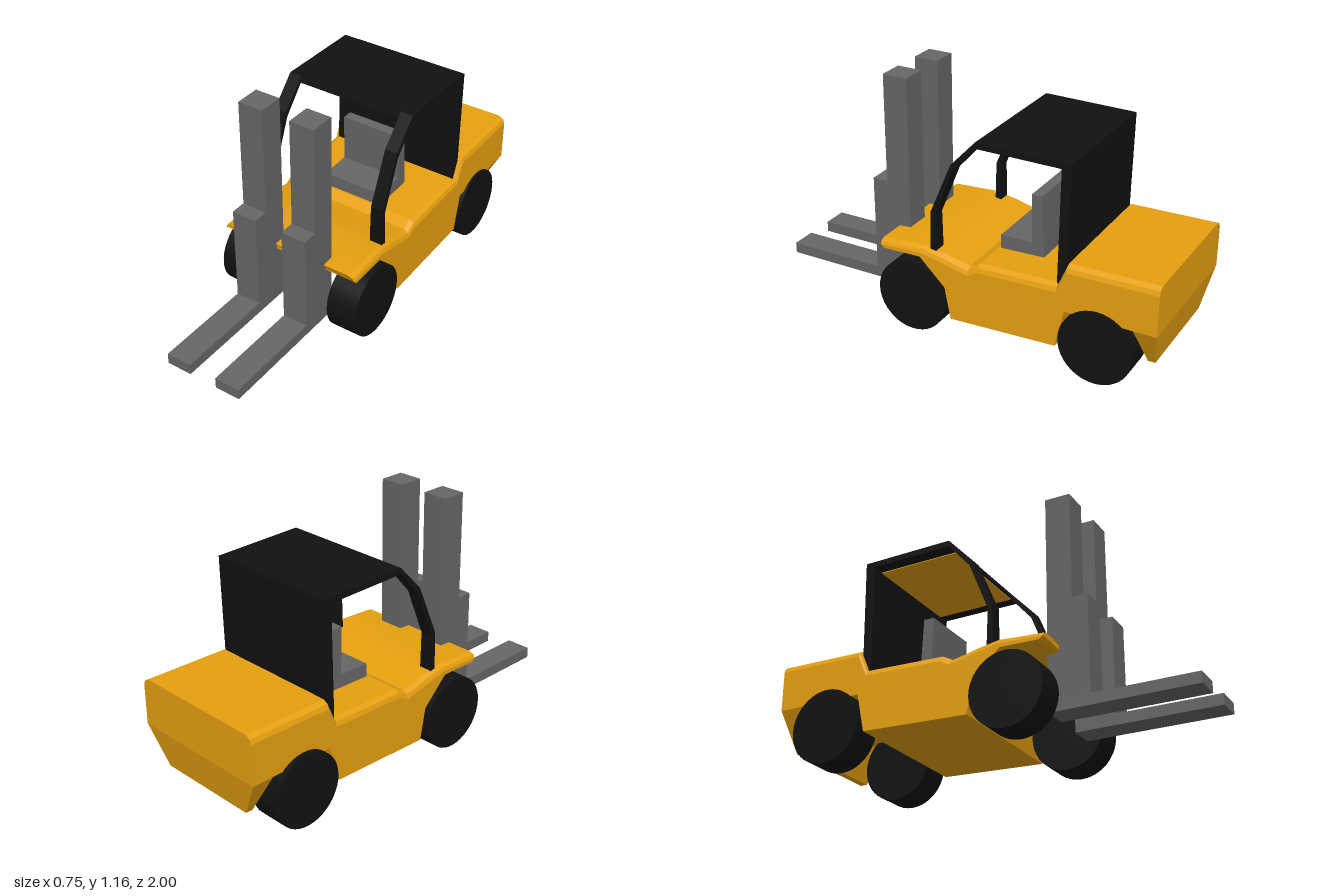
import * as THREE from 'three';
import { toCreasedNormals } from 'three/addons/utils/BufferGeometryUtils.js';

const mat = (color) => new THREE.MeshStandardMaterial({ color });

// Skin a row of matching cross-sections (arrays of [x, y, z]) and cap both ends
function loft(rings) {
  const n = rings[0].length, index = [], last = (rings.length - 1) * n;
  for (let r = 0; r < rings.length - 1; r++) {
    for (let k = 0; k < n; k++) {
      const a = r * n + k, b = r * n + (k + 1) % n;
      index.push(a, a + n, b + n, a, b + n, b);
    }
  }
  for (let k = 1; k < n - 1; k++) {
    index.push(0, k, k + 1, last, last + k + 1, last + k);
  }
  const g = new THREE.BufferGeometry();
  g.setAttribute('position', new THREE.Float32BufferAttribute(rings.flat(2), 3));
  g.setIndex(index);
  return toCreasedNormals(g, 0.25);
}

// Extrude a side profile of [z, y] points across x, centred on x
function sideProfile(points, width, x = 0) {
  const shape = new THREE.Shape(points.map(([z, y]) => new THREE.Vector2(z, y)));
  const g = new THREE.ExtrudeGeometry(shape, { depth: width, bevelEnabled: false });
  return g.rotateY(-Math.PI / 2).translate(x + width / 2, 0, 0);
}

export function createModel() {
  const model = new THREE.Group();
  model.name = 'forklift';
  const chassis = new THREE.Group();
  chassis.name = 'chassis';
  chassis.position.x = 0.007;
  model.add(chassis);

  const yellow = mat(0xe6a010), black = mat(0x111111), grey = mat(0x666666);
  const add = (parent, name, geometry, material) => {
    const mesh = new THREE.Mesh(geometry, material);
    mesh.name = name;
    parent.add(mesh);
    return mesh;
  };

  // Body: top z, top y, bottom z, bottom y at each station, with eased top edges
  const w = 0.358;
  const stations = [
    [0.37, 0.42, 0.35, 0.38],
    [0.15, 0.435, 0.16, 0.385],
    [0.05, 0.42, 0.03, 0.26],
    [-0.01, 0.405, 0, 0.105],
    [-0.09, 0.39, -0.09, 0.108],
    [-0.14, 0.417, -0.14, 0.11],
    [-0.53, 0.43, -0.53, 0.125],
    [-0.575, 0.535, -0.57, 0.31],
    [-1, 0.542, -1, 0.31],
  ];
  const bodyRings = stations.map(([zt, yt, zb, yb]) => {
    const e = Math.min(0.035, (yt - yb) * 0.6);
    const half = [[w, yb, zb], [w, yt - e, zt], [w - 0.008, yt - e * 0.4, zt], [w - 0.03, yt, zt]];
    return [...half, ...half.map(([x, y, z]) => [-x, y, z]).reverse()];
  });
  add(chassis, 'body', loft(bodyRings), yellow);

  // Tapered counterweight below the tail
  const rect = (x, y, front, back) => [[-x, y, front], [x, y, front], [x, y, back], [-x, y, back]];
  add(chassis, 'counterweight', loft([rect(w, 0.312, -0.89, -1), rect(0.26, 0.12, -0.93, -0.965)]), yellow);

  // Cab: roof, rear wall, roof lining and two bent front posts
  const cabWidth = 0.667;
  add(chassis, 'cabRoof', sideProfile(
    [[-0.575, 0.965], [-0.11, 0.968], [-0.12, 0.998], [-0.575, 0.992]], cabWidth), black);
  add(chassis, 'roofLining', sideProfile(
    [[-0.53, 0.961], [-0.12, 0.964], [-0.12, 0.969], [-0.53, 0.966]], 0.54), yellow);
  add(chassis, 'cabRearWall', sideProfile(
    [[-0.565, 0.42], [-0.522, 0.42], [-0.53, 0.97], [-0.575, 0.97]], cabWidth), black);
  const post = [
    [0.083, 0.4], [0.115, 0.4], [0.11, 0.615], [0.004, 0.865], [-0.12, 0.998],
    [-0.12, 0.968], [-0.007, 0.838], [0.088, 0.6],
  ];
  for (const s of [-1, 1]) {
    add(chassis, s > 0 ? 'leftCabPost' : 'rightCabPost',
      sideProfile(post, 0.062, s * (cabWidth / 2 - 0.031)), black);
  }

  // Seat
  add(chassis, 'seatCushion', sideProfile(
    [[-0.34, 0.41], [-0.15, 0.41], [-0.15, 0.483], [-0.34, 0.487]], 0.31), grey);
  add(chassis, 'seatBack', sideProfile(
    [[-0.37, 0.42], [-0.31, 0.42], [-0.303, 0.722], [-0.355, 0.722]], 0.31), grey);

  // Mast and fork on each side, one stepped L profile
  const lift = [
    [0.31, 0.11], [1, 0.11], [1, 0.163], [0.508, 0.163],
    [0.508, 0.635], [0.433, 0.635], [0.433, 1.163], [0.31, 1.163],
  ];
  for (const s of [-1, 1]) {
    add(chassis, s > 0 ? 'leftMastAndFork' : 'rightMastAndFork', sideProfile(lift, 0.125, s * 0.133), grey);
  }

  // Wheels
  const wheel = new THREE.CylinderGeometry(0.177, 0.177, 0.154, 40).rotateZ(Math.PI / 2);
  for (const [end, z] of [['front', 0.2], ['rear', -0.725]]) {
    for (const s of [-1, 1]) {
      add(model, `${end}${s > 0 ? 'Left' : 'Right'}Wheel`, wheel, black).position.set(s * 0.299, 0.177, z);
    }
  }
  return model;
}
